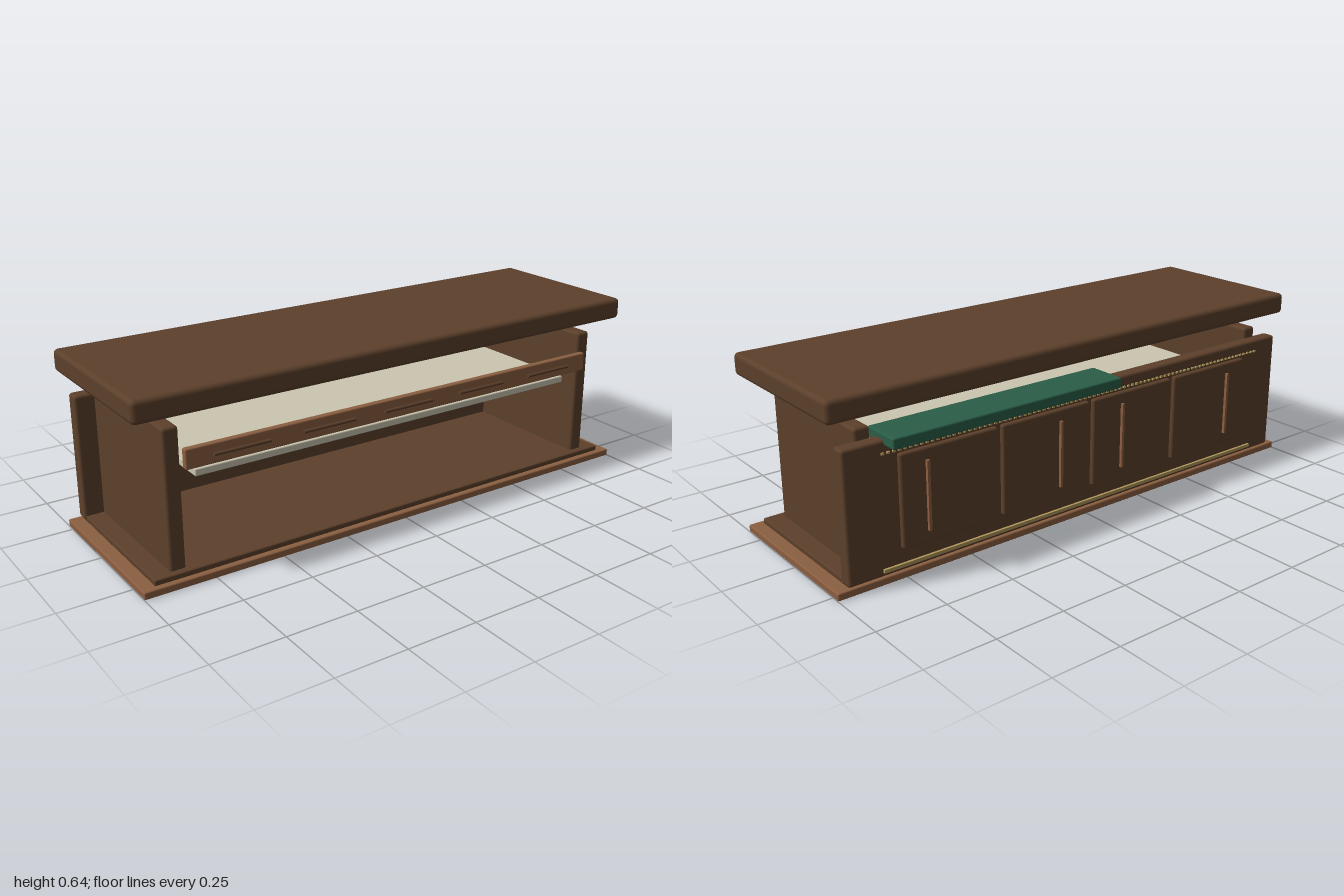
import * as THREE from 'three';
import { RoundedBoxGeometry } from 'three/addons/geometries/RoundedBoxGeometry.js';

const paint = (name, color) => {
  const m = new THREE.MeshStandardMaterial({ color });
  m.name = name;
  return m;
};

export function createModel() {
  const model = new THREE.Group();
  model.name = 'counter';
  const darkWood = paint('dark wood', 0x5c402b);
  const lightWood = paint('light wood', 0x8b5f41);
  const green = paint('green cloth', 0x2a5e48);
  const cream = paint('cream', 0xcbc6b0);
  const brass = paint('brass', 0xb0985a);

  const add = (name, geometry, material, x, y, z) => {
    const mesh = new THREE.Mesh(geometry, material);
    mesh.name = name;
    mesh.position.set(x, y, z);
    model.add(mesh);
    return mesh;
  };
  // Rounded block given by its extents on each axis
  const block = (name, material, [x0, x1], [y0, y1], [z0, z1], r = 0.01) =>
    add(name, new RoundedBoxGeometry(x1 - x0, y1 - y0, z1 - z0, 2, r), material,
      (x0 + x1) / 2, (y0 + y1) / 2, (z0 + z1) / 2);

  // Base, floor and floating top slab
  block('basePlinth', lightWood, [-1, 1], [0, 0.026], [-0.283, 0.334], 0.005);
  block('floorBoard', darkWood, [-0.955, 0.955], [0.024, 0.045], [-0.265, 0.314], 0.005);
  block('topSlab', darkWood, [-1, 1], [0.567, 0.645], [-0.283, 0.334], 0.016);

  // Body: side walls and back wall
  for (const s of [-1, 1]) {
    const xs = s > 0 ? [0.835, 0.89] : [-0.89, -0.835];
    block('sideWall', darkWood, xs, [0.035, 0.522], [-0.24, 0.29]);
  }
  block('backWall', darkWood, [-0.96, 0.96], [0.03, 0.483], [-0.283, -0.23]);

  // Inner shelf and front rail
  block('innerShelf', cream, [-0.78, 0.78], [0.335, 0.36], [-0.22, 0.275], 0.004);
  block('frontRail', lightWood, [-0.835, 0.835], [0.388, 0.456], [0.303, 0.327], 0.005);

  // Bar handles along the rail
  for (let i = -2; i <= 2; i++) {
    const bar = add('railHandle', new THREE.CylinderGeometry(0.006, 0.006, 0.2, 12),
      darkWood, i * 0.321, 0.422, 0.334);
    bar.rotation.z = Math.PI / 2;
  }

  // Four raised panels with slim upright pulls on the back
  for (const s of [-1, 1]) {
    for (const [centre, pull] of [[0.195, 0.14], [0.585, 0.675]]) {
      block('backPanel', darkWood, [s * centre - 0.186, s * centre + 0.186],
        [0.108, 0.43], [-0.299, -0.275], 0.008);
      add('panelPull', new THREE.BoxGeometry(0.01, 0.24, 0.012), lightWood, s * pull, 0.27, -0.304);
    }
  }

  // Brass strip and row of studs across the back
  add('brassStrip', new THREE.BoxGeometry(1.68, 0.012, 0.009), brass, 0, 0.054, -0.291);
  const stud = new THREE.BoxGeometry(0.009, 0.007, 0.007);
  for (let i = 0; i < 84; i++) add('stud', stud, brass, -0.83 + i * 0.02, 0.447, -0.298);

  // Folded cloth over the back wall
  block('cloth', green, [-0.1, 0.815], [0.465, 0.503], [-0.338, -0.19], 0.006);

  return model;
}
